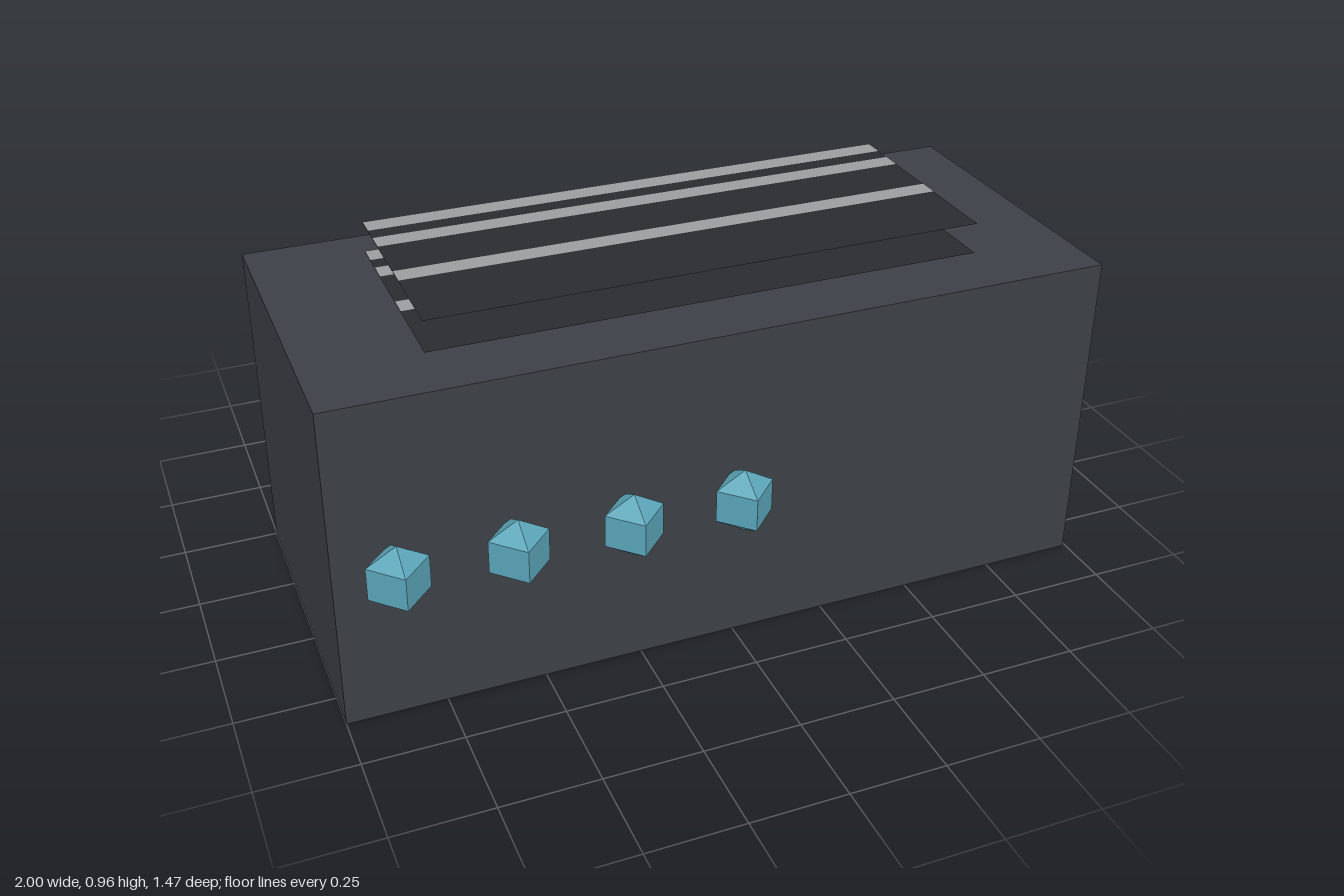
import * as THREE from 'three';

const mat = (color, extra = {}) =>
  new THREE.MeshStandardMaterial({ color, flatShading: true, ...extra });

export function createModel() {
  const root = new THREE.Group();
  const U = 0.2846; // module size: the housing is 7 x 3 x 3 of these
  const cx = -0.004, cz = 0.175, height = 3 * U;

  const add = (name, geometry, material, x, y, z, parent = root) => {
    const mesh = new THREE.Mesh(geometry, material);
    mesh.name = name;
    mesh.position.set(x, y, z);
    parent.add(mesh);
    return mesh;
  };

  // Main housing
  add('housing', new THREE.BoxGeometry(7 * U, height, 3 * U), mat(0x3c3f46), cx, height / 2, cz);

  // Six-sided pipe leaving the back
  const pipe = new THREE.CylinderGeometry(0.6 * U, 0.6 * U, 2 * U, 6).rotateX(Math.PI / 2);
  add('exhaustPipe', pipe, mat(0x596069), cx + 3 * U, height / 2, -0.448);

  // Row of faceted knobs on the front
  const knob = new THREE.SphereGeometry(0.3 * U, 4, 3);
  const knobMat = mat(0x5ba6b9);
  for (let i = -3; i <= 0; i++) {
    add('knob', knob, knobMat, cx + i * U, height / 2, cz + 1.7 * U);
  }

  // Two thin grille sheets above the top, each with pale slats
  const sheet = new THREE.PlaneGeometry(5 * U, 2 * U).rotateX(-Math.PI / 2);
  const slat = new THREE.PlaneGeometry(5 * U, 0.2 * U).rotateX(-Math.PI / 2);
  const sheetMat = mat(0x2a2b2f, { side: THREE.DoubleSide });
  const slatMat = mat(0x9a9d9f, { side: THREE.DoubleSide });
  for (const lift of [0.02, 0.1]) {
    const grille = new THREE.Group();
    grille.name = 'grille';
    grille.position.set(cx, height + lift, cz);
    root.add(grille);
    add('grilleSheet', sheet, sheetMat, 0, 0, 0, grille);
    for (const z of [-0.9, -0.55, 0.15]) {
      add('grilleSlat', slat, slatMat, 0, 0.002, z * U, grille);
    }
  }

  return root;
}
